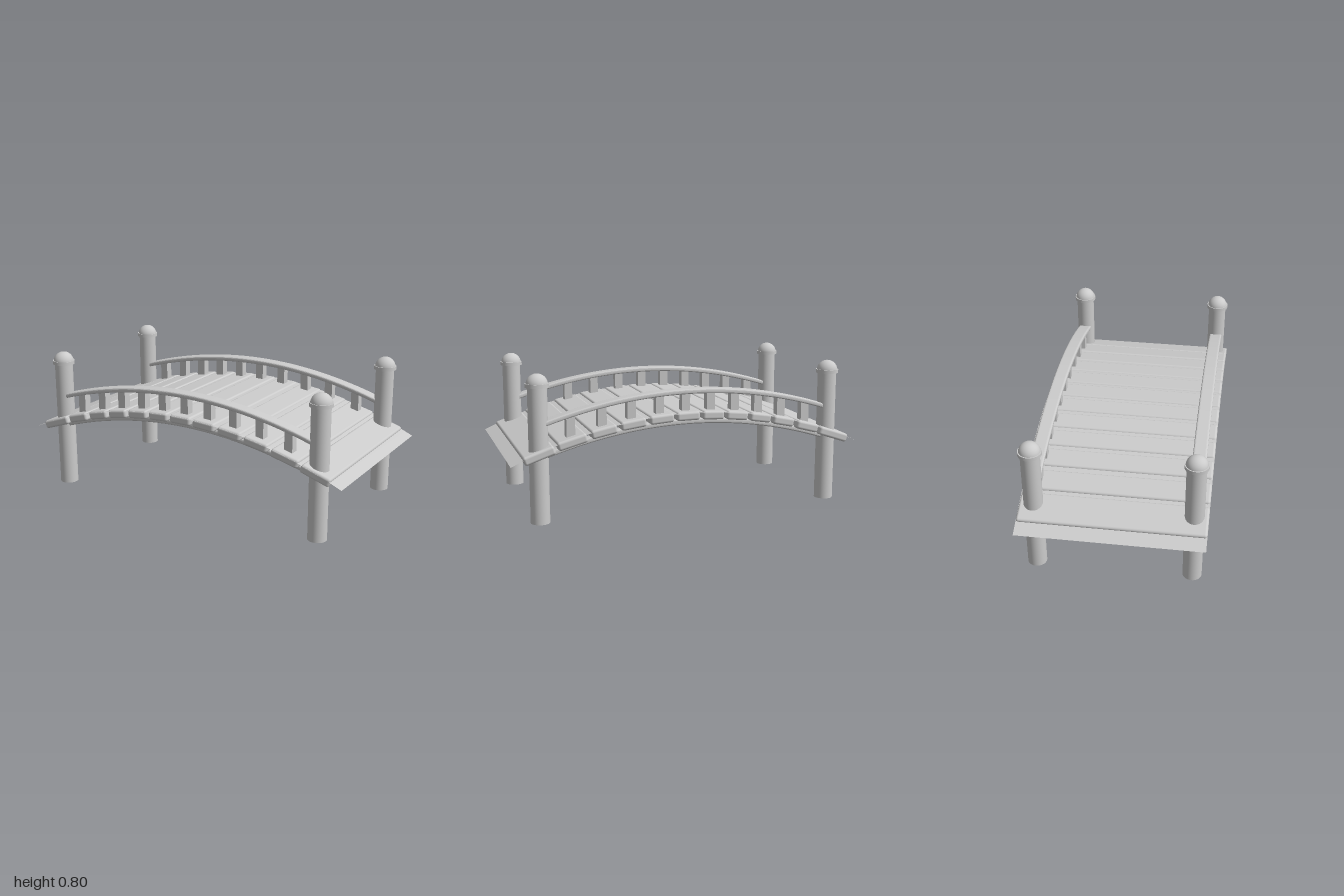
import * as THREE from 'three';
import { RoundedBoxGeometry } from 'three/addons/geometries/RoundedBoxGeometry.js';

const grey = new THREE.MeshStandardMaterial({ color: 0xcccccc });
const greyThin = new THREE.MeshStandardMaterial({ color: 0xcccccc, side: THREE.DoubleSide });

// Heights of the arched parts along the span
const deckTop = (x) => 0.563 - 0.224 * x * x;
const sheetY = (x) => 0.557 - 0.227 * x * x;
const railY = (x) => 0.667 - 0.2 * x * x;
const beamY = (x) => 0.502 - 0.21 * x * x;

function add(parent, name, geometry, x = 0, y = 0, z = 0, material = grey) {
  const mesh = new THREE.Mesh(geometry, material);
  mesh.name = name;
  mesh.position.set(x, y, z);
  parent.add(mesh);
  return mesh;
}

// Bar with rounded long edges, bent so its centre line follows height(x)
function archedBar(x0, x1, height, thick, width) {
  const r = thick * 0.4, w = width / 2, t = thick / 2;
  const s = new THREE.Shape();
  s.moveTo(-w + r, -t);
  s.lineTo(w - r, -t);
  s.quadraticCurveTo(w, -t, w, -t + r);
  s.lineTo(w, t - r);
  s.quadraticCurveTo(w, t, w - r, t);
  s.lineTo(-w + r, t);
  s.quadraticCurveTo(-w, t, -w, t - r);
  s.lineTo(-w, -t + r);
  s.quadraticCurveTo(-w, -t, -w + r, -t);
  const g = new THREE.ExtrudeGeometry(s, { depth: x1 - x0, steps: 32, bevelEnabled: false, curveSegments: 4 });
  g.rotateY(Math.PI / 2).translate(x0, 0, 0);
  const p = g.attributes.position;
  for (let i = 0; i < p.count; i++) p.setY(i, p.getY(i) + height(p.getX(i)));
  g.computeVertexNormals();
  return g;
}

function createPost(x, z) {
  const post = new THREE.Group();
  post.name = 'post';
  post.position.set(x, 0, z);
  add(post, 'postShaft', new THREE.CylinderGeometry(0.052, 0.052, 0.74, 32), 0, 0.37);
  add(post, 'postCollar', new THREE.CylinderGeometry(0.063, 0.063, 0.02, 32), 0, 0.739);
  add(post, 'postDome', new THREE.SphereGeometry(0.058, 32, 12, 0, Math.PI * 2, 0, Math.PI / 2), 0, 0.742);
  return post;
}

export function createModel() {
  const bridge = new THREE.Group();
  bridge.name = 'archedFootbridge';

  // Cross planks, tilted to follow the arch: [start, end] in x
  const planks = [
    [-0.925, -0.755], [-0.74, -0.613], [-0.59, -0.468], [-0.45, -0.33], [-0.312, -0.19], [-0.172, -0.05],
    [-0.032, 0.098], [0.114, 0.248], [0.27, 0.408], [0.43, 0.57], [0.592, 0.75], [0.765, 0.93],
  ];
  const deck = new THREE.Group();
  deck.name = 'deck';
  bridge.add(deck);
  for (const [a, b] of planks) {
    const x = (a + b) / 2, tilt = Math.atan(-0.4 * x);
    const length = (b - a) / Math.cos(tilt);
    const plank = add(deck, 'plank', new RoundedBoxGeometry(length, 0.048, 1, 3, 0.014), x, deckTop(x) - 0.024, 0);
    plank.rotation.z = tilt;
  }

  // Thin arched sheet running through the planks and past both ends
  const sheet = new THREE.PlaneGeometry(2, 1, 40, 1).rotateX(-Math.PI / 2);
  const p = sheet.attributes.position;
  for (let i = 0; i < p.count; i++) p.setY(i, sheetY(p.getX(i)));
  sheet.computeVertexNormals();
  add(deck, 'walkwaySheet', sheet, 0, 0, 0, greyThin);

  // Both sides: posts, handrail, support beam and balusters
  for (const z of [0.425, -0.425]) {
    for (const x of [-0.82, 0.84]) bridge.add(createPost(x, z));
    add(bridge, 'handrail', archedBar(-0.785, 0.81, railY, 0.027, 0.075), 0, 0, z);
    add(bridge, 'supportBeam', archedBar(-0.79, 0.81, beamY, 0.032, 0.06), 0, 0, z);
    for (const [a, b] of planks.slice(1, -1)) {
      const x = (a + b) / 2, bottom = deckTop(x) - 0.02, top = railY(x);
      add(bridge, 'baluster', new THREE.BoxGeometry(0.047, top - bottom, 0.047), x, (top + bottom) / 2, z);
    }
  }
  return bridge;
}
